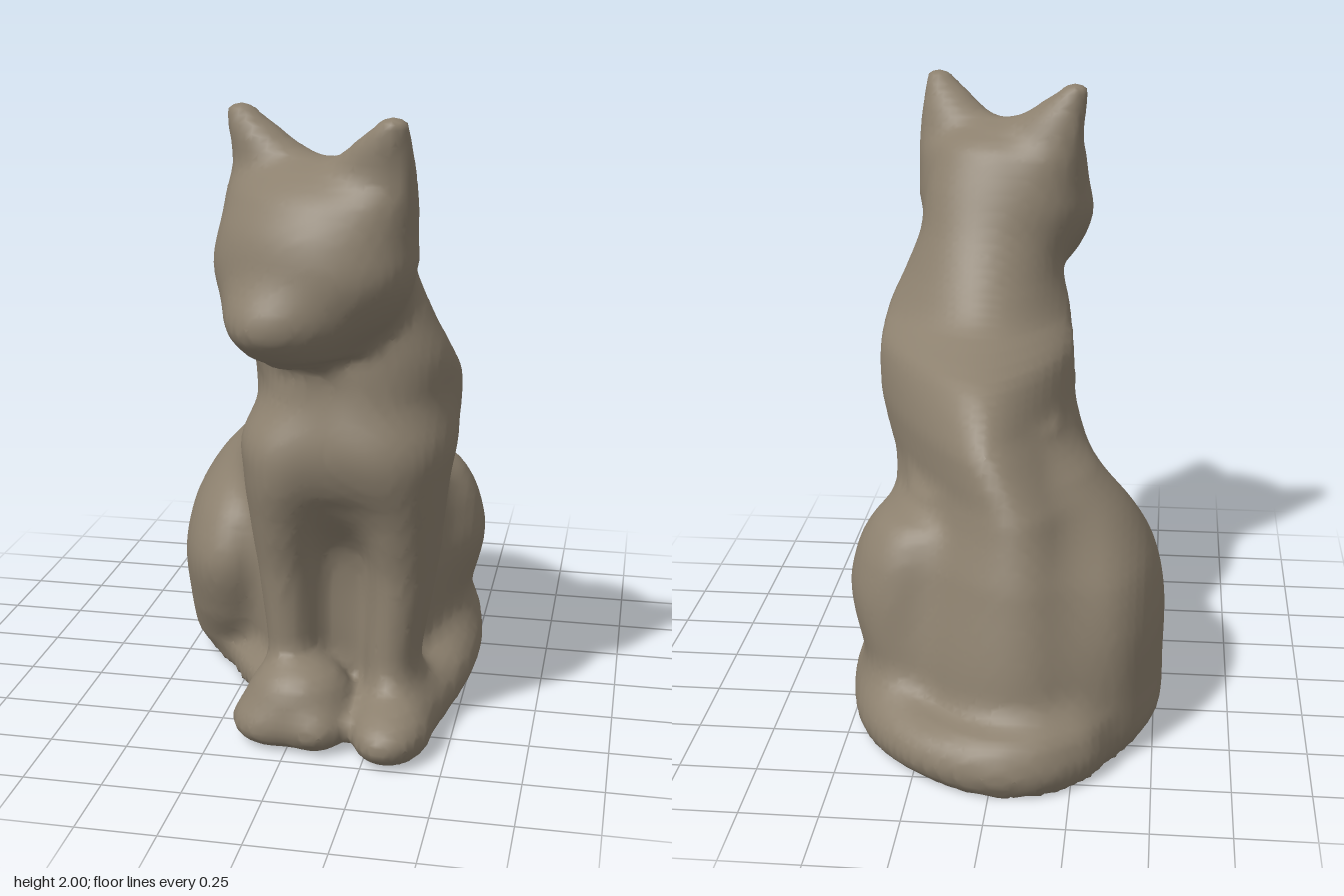
import * as THREE from 'three';

const fur = new THREE.MeshStandardMaterial({ color: 0x8c806e });
fur.name = 'stoneBrown';

const FLOOR = 0.008;
const parts = []; // { name, soft (blend width), dist(x, y, z) }

// Smooth interpolation of one column of the section rows
function blend(rows, i, t, k) {
  const at = (n) => rows[Math.min(Math.max(n, 0), rows.length - 1)][k] || 0;
  const [a, b, c, d] = [at(i - 1), at(i), at(i + 1), at(i + 2)];
  return b + 0.5 * t * (c - a + t * (2 * a - 5 * b + 4 * c - d + t * (3 * (b - c) + d - a)));
}

// Solid from horizontal sections: [y, centreX, halfWidth, zFront, zBack, frontTaper, skew, backTaper]
function loft(rows) {
  const y0 = rows[0][0], y1 = rows[rows.length - 1][0];
  let lastY, s;
  return (x, y, z) => {
    if (y !== lastY) {
      lastY = y;
      const yc = Math.min(Math.max(y, y0), y1);
      let i = 0;
      while (i < rows.length - 2 && yc > rows[i + 1][0]) i++;
      const t = (yc - rows[i][0]) / (rows[i + 1][0] - rows[i][0]);
      s = [1, 2, 3, 4, 5, 6, 7].map((k) => blend(rows, i, t, k));
    }
    const [cx, hw, zf, zb, front, skew, back] = s, rz = (zf - zb) / 2;
    const c = (z - (zf + zb) / 2) / rz, cc = Math.min(Math.max(c, -1), 1);
    const w = hw * (1 - front * Math.max(cc, 0) - back * Math.max(-cc, 0));
    const d = (Math.hypot((x - cx - skew * cc) / w, c) - 1) * Math.min(hw, rz);
    return Math.max(d, y - y1, y0 - y);
  };
}

const ball = (p, r) => (x, y, z) =>
  (Math.hypot((x - p[0]) / r[0], (y - p[1]) / r[1], (z - p[2]) / r[2]) - 1) * Math.min(...r);

// Round rod swept along a smooth path
function sweep(points, radius) {
  const pts = new THREE.CatmullRomCurve3(points.map((p) => new THREE.Vector3(...p))).getPoints(40);
  return (x, y, z) => {
    let m = Infinity;
    for (const p of pts) m = Math.min(m, (x - p.x) ** 2 + (y - p.y) ** 2 + (z - p.z) ** 2);
    return Math.sqrt(m) - radius;
  };
}

// The head is turned to its right
const COS = Math.cos(0.5), SIN = Math.sin(0.5);
const onHead = (f) => (x, y, z) => {
  const dx = x - 0.075, dz = z - 0.58;
  return f(dx * COS + dz * SIN, y, -dx * SIN + dz * COS);
};
const add = (name, soft, dist) => parts.push({ name, soft, dist });

function defineParts() {
  parts.length = 0;
  // Torso and neck: broad chest, narrow back
  add('torso', 0.05, loft([
    [0, 0.03, 0.38, 0.44, -0.74, 0.2, 0.10, 0],
    [0.30, 0.03, 0.375, 0.44, -0.72, 0.15, 0.10, 0],
    [0.60, 0.04, 0.355, 0.46, -0.65, 0.1, 0.11, 0.12],
    [0.80, 0.06, 0.34, 0.60, -0.58, 0.05, 0.11, 0.28],
    [0.90, 0.10, 0.335, 0.67, -0.53, 0, 0.10, 0.36],
    [1.00, 0.13, 0.335, 0.695, -0.46, 0, 0.08, 0.42],
    [1.15, 0.14, 0.335, 0.66, -0.30, 0, 0.06, 0.42],
    [1.24, 0.145, 0.32, 0.65, -0.03, 0, 0.04, 0.34],
    [1.36, 0.135, 0.28, 0.64, 0.10, 0, 0.02, 0.22],
    [1.50, 0.11, 0.25, 0.62, 0.20, 0, 0, 0.1],
    [1.65, 0.09, 0.23, 0.60, 0.28, 0, 0, 0],
    [1.80, 0.08, 0.17, 0.58, 0.37, 0, 0, 0],
    [1.84, 0.08, 0.06, 0.54, 0.44, 0, 0, 0],
  ]));
  add('base', 0.04, loft([
    [0, 0.02, 0.42, 0.58, -0.78, 0.32, 0.1],
    [0.08, 0.02, 0.42, 0.58, -0.78, 0.32, 0.1],
    [0.13, 0.02, 0.38, 0.50, -0.74, 0.3, 0.1],
  ]));
  // Haunches
  add('rightHaunch', 0.07, loft([
    [0, -0.29, 0.18, 0.05, -0.60],
    [0.08, -0.30, 0.22, 0.10, -0.63],
    [0.22, -0.305, 0.22, 0.18, -0.63],
    [0.42, -0.305, 0.22, 0.24, -0.61],
    [0.58, -0.28, 0.21, 0.19, -0.56],
    [0.72, -0.22, 0.19, 0.09, -0.46],
    [0.86, -0.14, 0.14, 0.02, -0.36],
    [0.97, -0.08, 0.07, -0.06, -0.24],
  ]));
  add('leftHaunch', 0.09, loft([
    [0, 0.28, 0.15, 0.05, -0.52],
    [0.25, 0.30, 0.175, 0.05, -0.53],
    [0.45, 0.315, 0.205, 0.07, -0.51],
    [0.60, 0.295, 0.195, 0.04, -0.48],
    [0.70, 0.26, 0.165, -0.01, -0.43],
    [0.77, 0.22, 0.08, -0.09, -0.32],
  ]));
  // Front legs, merging into the shoulders
  add('rightFrontLeg', 0.07, loft([
    [0, -0.02, 0.085, 0.575, 0.30],
    [0.28, -0.02, 0.085, 0.57, 0.28],
    [0.55, -0.035, 0.105, 0.58, 0.22],
    [0.72, -0.035, 0.13, 0.62, 0.17],
    [0.88, -0.025, 0.155, 0.66, 0.15],
    [1.00, -0.01, 0.17, 0.65, 0.16],
    [1.15, 0.04, 0.12, 0.57, 0.24],
  ]));
  add('leftFrontLeg', 0.07, loft([
    [0, 0.30, 0.085, 0.585, 0.32],
    [0.25, 0.305, 0.085, 0.57, 0.30],
    [0.55, 0.33, 0.105, 0.58, 0.24],
    [0.72, 0.325, 0.13, 0.62, 0.20],
    [0.88, 0.315, 0.155, 0.66, 0.18],
    [1.00, 0.305, 0.17, 0.65, 0.18],
    [1.15, 0.27, 0.14, 0.57, 0.24],
  ]));
  // Paws
  add('rightPaw', 0.04, ball([0.02, 0.15, 0.55], [0.165, 0.125, 0.15]));
  add('rightToes', 0.05, ball([-0.05, 0.075, 0.585], [0.14, 0.08, 0.13]));
  add('rightToes', 0.04, ball([0.09, 0.08, 0.61], [0.10, 0.08, 0.12]));
  add('leftPaw', 0.04, ball([0.32, 0.08, 0.645], [0.11, 0.08, 0.14]));
  // Tail wrapped around the rear and along the left side
  add('tail', 0.13, sweep([
    [-0.22, 0.09, -0.68], [-0.13, 0.09, -0.765], [0.0, 0.09, -0.79], [0.20, 0.09, -0.715],
    [0.36, 0.085, -0.52], [0.435, 0.08, -0.22], [0.445, 0.08, 0.08], [0.41, 0.08, 0.34],
    [0.33, 0.075, 0.56],
  ], 0.078));
  // Head
  add('skull', 0.08, onHead(loft([
    [1.27, 0, 0.08, 0.16, -0.02],
    [1.31, 0, 0.17, 0.21, -0.14],
    [1.42, 0, 0.27, 0.25, -0.24],
    [1.54, 0, 0.325, 0.26, -0.26],
    [1.66, 0, 0.31, 0.235, -0.25],
    [1.77, 0, 0.27, 0.17, -0.21],
    [1.83, 0, 0.20, 0.09, -0.13],
    [1.855, 0, 0.10, 0.02, -0.06],
  ])));
  add('muzzle', 0.09, onHead(ball([0.01, 1.41, 0.18], [0.14, 0.1, 0.145])));
  for (const [name, s] of [['rightEar', -1], ['leftEar', 1]])
    add(name, 0.05, onHead(loft([
      [1.60, s * 0.16, 0.14, 0.12, -0.18],
      [1.74, s * 0.175, 0.15, 0.10, -0.17],
      [1.83, s * 0.175, 0.155, 0.065, -0.14],
      [1.89, s * 0.215, 0.115, 0.055, -0.11],
      [1.94, s * 0.25, 0.08, 0.05, -0.08],
      [1.98, s * 0.28, 0.05, 0.04, -0.055],
      [2.005, s * 0.29, 0.03, 0.025, -0.035],
    ])));
}

// Soft union of all parts above the floor
function field(x, y, z) {
  let d = Infinity, best = Infinity, owner = 0;
  parts.forEach(({ soft, dist }, i) => {
    const e = dist(x, y, z);
    if (e < best) { best = e; owner = i; }
    const h = Math.max(soft - Math.abs(d - e), 0) / soft;
    d = Math.min(d, e) - h * h * soft / 4;
  });
  return [Math.max(d, FLOOR - y), owner];
}

export function createModel() {
  defineParts();
  const H = 0.025, min = [-0.66, -0.04, -1], N = [54, 85, 81], step = [1, N[0], N[0] * N[1]];
  const at = (p) => p[0] + p[1] * step[1] + p[2] * step[2];
  const value = new Float32Array(N[0] * N[1] * N[2]);
  for (let j = 0; j < N[1]; j++)
    for (let k = 0; k < N[2]; k++)
      for (let i = 0; i < N[0]; i++)
        value[at([i, j, k])] = field(min[0] + i * H, min[1] + j * H, min[2] + k * H)[0];

  // One skin point in every grid cell the surface crosses
  const pos = [], owners = [], cell = new Int32Array(value.length).fill(-1);
  const each = (visit) => {
    for (let k = 1; k < N[2] - 1; k++)
      for (let j = 0; j < N[1] - 1; j++)
        for (let i = 1; i < N[0] - 1; i++) visit([i, j, k], at([i, j, k]));
  };
  each((p, q) => {
    const sum = [0, 0, 0];
    let n = 0;
    for (let c = 0; c < 8; c++)
      for (let a = 0; a < 3; a++) {
        if (c >> a & 1) continue;
        const o = [c & 1, c >> 1 & 1, c >> 2 & 1];
        const u = value[q + at(o)], v = value[q + at(o) + step[a]];
        if (u < 0 === v < 0) continue;
        o[a] += u / (u - v);
        o.forEach((w, m) => { sum[m] += w; });
        n++;
      }
    if (!n) return;
    const point = sum.map((w, m) => min[m] + (p[m] + w / n) * H);
    cell[q] = owners.length;
    pos.push(...point);
    owners.push(parts[field(...point)[1]].name);
  });

  // Faces across every crossed grid edge, gathered by part
  const all = [], faces = {};
  each((p, q) => {
    for (let a = 0; a < 3; a++) {
      const inside = value[q] < 0;
      if (inside === value[q + step[a]] < 0) continue;
      const u = step[(a + 1) % 3], v = step[(a + 2) % 3];
      const f = [cell[q - u - v], cell[q - v], cell[q], cell[q - u]];
      if (!inside) f.reverse();
      const tris = [f[0], f[1], f[2], f[0], f[2], f[3]];
      all.push(...tris);
      (faces[owners[f[0]]] ||= []).push(...tris);
    }
  });
  const skin = new THREE.BufferGeometry();
  skin.setAttribute('position', new THREE.Float32BufferAttribute(pos, 3));
  skin.setIndex(all);
  skin.computeVertexNormals();

  const model = new THREE.Group();
  model.name = 'sittingCat';
  for (const name in faces) {
    const g = new THREE.BufferGeometry();
    for (const key of ['position', 'normal']) g.setAttribute(key, skin.getAttribute(key));
    g.setIndex(faces[name]);
    const mesh = new THREE.Mesh(g, fur);
    mesh.name = name;
    model.add(mesh);
  }
  return model;
}
